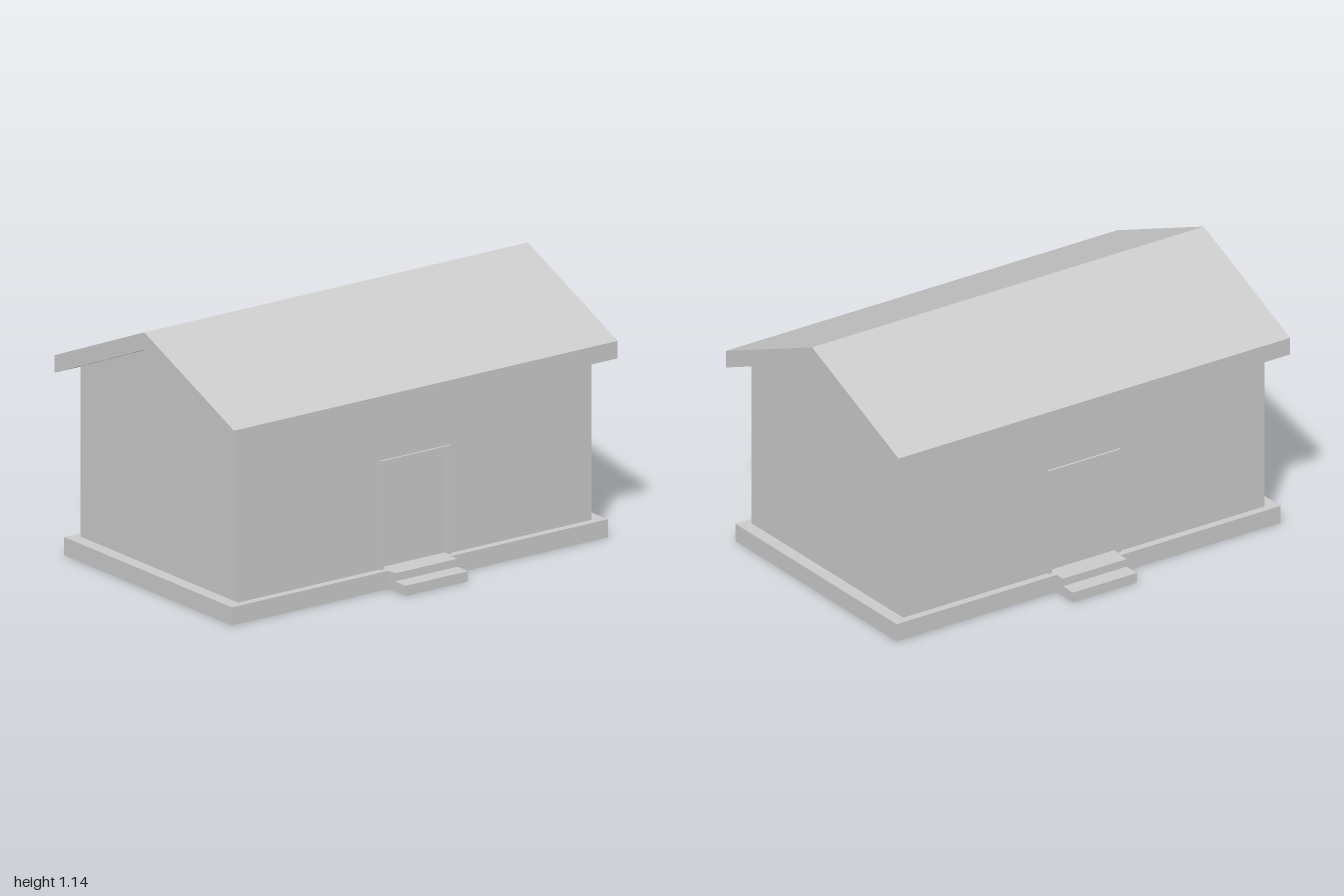
import * as THREE from 'three';

const material = new THREE.MeshStandardMaterial({ color: 0xcccccc, flatShading: true });

function add(parent, name, geometry, x = 0, y = 0, z = 0) {
  const mesh = new THREE.Mesh(geometry, material);
  mesh.name = name;
  mesh.position.set(x, y, z);
  parent.add(mesh);
  return mesh;
}

function extrude(points, depth, hole) {
  const toVectors = (list) => list.map(([x, y]) => new THREE.Vector2(x, y));
  const shape = new THREE.Shape(toVectors(points));
  if (hole) shape.holes.push(new THREE.Path(toVectors(hole)));
  return new THREE.ExtrudeGeometry(shape, { depth, bevelEnabled: false });
}

// Doorway outline that opens at floor level
const arch = (halfWidth, top, bottom) =>
  [[-halfWidth, bottom], [-halfWidth, top], [halfWidth, top], [halfWidth, bottom]];

export function createModel() {
  const model = new THREE.Group();
  model.name = 'house';

  const floor = 0.08;      // top of the plinth
  const wallX = 0.55;      // outer face of the side walls
  const wallZ = 0.922;     // outer face of the gable walls
  const doorX = 0.53;      // face of the recessed doors
  const eaveX = 0.627, eaveY = 0.795, ridgeY = 1.062, roofThick = 0.077;
  const underside = (x) => ridgeY - (ridgeY - eaveY) * x / eaveX;

  // Plinth
  add(model, 'plinth', new THREE.BoxGeometry(1.17, floor, 1.96), 0, floor / 2, 0);

  // Gabled body; its sides form the door panels inside the openings
  const shoulder = underside(doorX);
  add(model, 'gabledBody', extrude([
    [-doorX, floor], [doorX, floor], [doorX, shoulder], [0, ridgeY], [-doorX, shoulder],
  ], wallZ * 2), 0, 0, -wallZ);

  // Roof with two equal slopes
  add(model, 'roof', extrude([
    [-eaveX, eaveY], [0, ridgeY], [eaveX, eaveY],
    [eaveX, eaveY + roofThick], [0, ridgeY + roofThick], [-eaveX, eaveY + roofThick],
  ], 2), 0, 0, -1);

  // Side walls, door frames and entrance steps, the same on both sides
  for (const side of [1, -1]) {
    const entrance = new THREE.Group();
    entrance.name = side > 0 ? 'leftSide' : 'rightSide';
    entrance.rotation.y = side * Math.PI / 2;
    model.add(entrance);

    const doorway = arch(0.184, 0.558, floor);
    add(entrance, 'sideWall', extrude([
      [-wallZ, floor], ...doorway, [wallZ, floor], [wallZ, shoulder], [-wallZ, shoulder],
    ], wallX - doorX), 0, 0, doorX);

    add(entrance, 'doorFrame', extrude([
      ...doorway, ...arch(0.169, 0.537, floor).reverse(),
    ], 0.03), 0, 0, doorX);

    // Stepped profile, extruded along the wall
    const steps = add(entrance, 'entranceSteps', extrude([
      [0.58, 0], [0.704, 0], [0.704, 0.045], [0.63, 0.045], [0.63, floor], [0.58, floor],
    ], 0.326), 0.163, 0, 0);
    steps.rotation.y = -Math.PI / 2;
  }

  return model;
}
